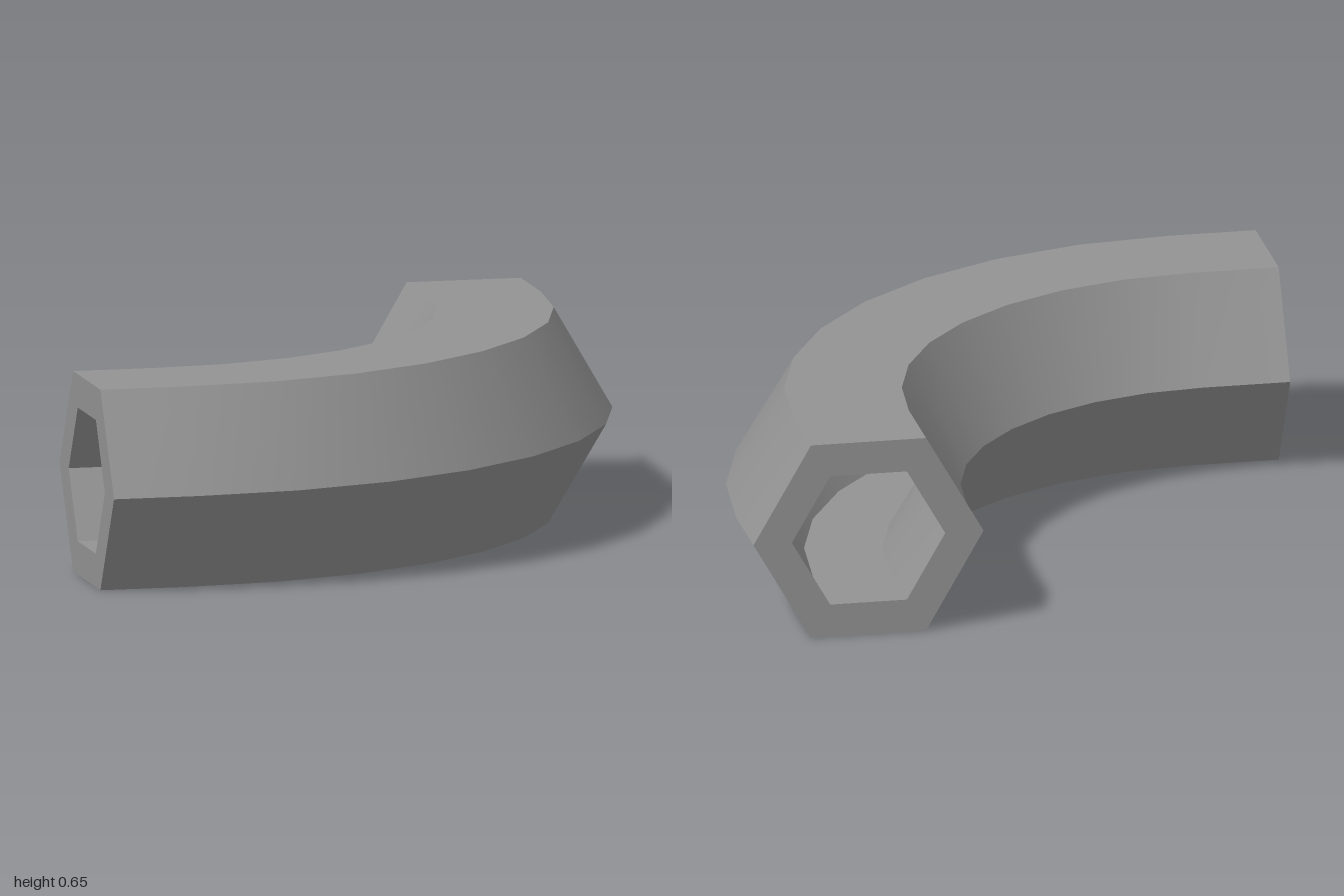
import * as THREE from 'three';
import { toCreasedNormals } from 'three/addons/utils/BufferGeometryUtils.js';

const SIDES = 6, STEPS = 8;
const OUTER = 0.375, BORE = 0.25;   // hexagon corner radii
const CENTRE = -0.72, BEND = 1.345; // bend centre (x and z) and centreline radius
const MID = OUTER * Math.sqrt(3) / 2;

// Stations along the pipe: short straight, quarter bend, short straight
function stations() {
  const list = [{ x: -1, z: CENTRE, t: 0 }];
  for (let i = 0; i <= STEPS; i++) list.push({ x: CENTRE, z: CENTRE, t: (i / STEPS) * Math.PI / 2 });
  list.push({ x: CENTRE, z: -1, t: Math.PI / 2 });
  return list;
}

// Hexagonal cross-section standing across the path at a station
function ring({ x, z, t }, radius) {
  return Array.from({ length: SIDES }, (_, j) => {
    const a = (j / SIDES) * Math.PI * 2;
    const d = BEND + radius * Math.cos(a);
    return [x + d * Math.sin(t), MID + radius * Math.sin(a), z + d * Math.cos(t)];
  });
}

// Outer skin forward, bore backward; joining them closes both end faces
function pipeGeometry() {
  const path = stations();
  const rings = [
    ...path.map((s) => ring(s, OUTER)),
    ...path.slice().reverse().map((s) => ring(s, BORE)),
  ];
  const index = [];
  const n = rings.length;
  for (let i = 0; i < n; i++) {
    for (let j = 0; j < SIDES; j++) {
      const k = (j + 1) % SIDES, a = i * SIDES, b = ((i + 1) % n) * SIDES;
      index.push(a + j, b + j, b + k, a + j, b + k, a + k);
    }
  }
  const geometry = new THREE.BufferGeometry();
  geometry.setAttribute('position', new THREE.Float32BufferAttribute(rings.flat(2), 3));
  geometry.setIndex(index);
  return toCreasedNormals(geometry, 0.6);
}

export function createModel() {
  const group = new THREE.Group();
  group.name = 'hexagonalPipeBend';
  // Dark grey pipe
  const pipe = new THREE.Mesh(pipeGeometry(), new THREE.MeshStandardMaterial({ color: 0x939393 }));
  pipe.name = 'pipeElbow';
  group.add(pipe);
  return group;
}
